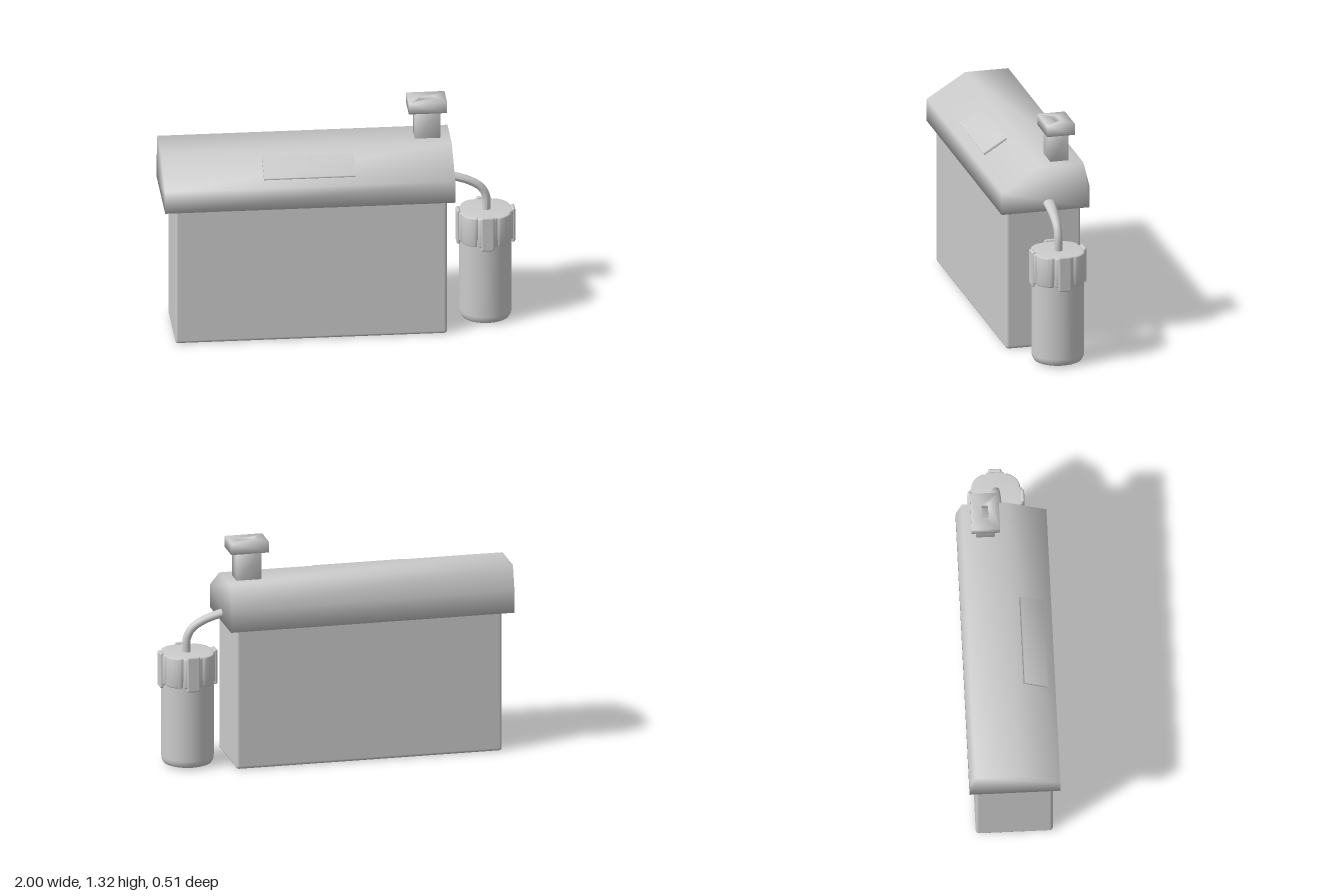
import * as THREE from 'three';
import { mergeVertices, toCreasedNormals } from 'three/addons/utils/BufferGeometryUtils.js';
import { RoundedBoxGeometry } from 'three/addons/geometries/RoundedBoxGeometry.js';

const material = new THREE.MeshStandardMaterial({ color: 0xcccccc });

// Share corners so that normals blend across the edges
function smooth(geometry) {
  geometry.deleteAttribute('normal');
  geometry.deleteAttribute('uv');
  const merged = mergeVertices(geometry, 1e-4);
  merged.computeVertexNormals();
  return merged;
}

function add(parent, name, geometry, x = 0, y = 0, z = 0) {
  const mesh = new THREE.Mesh(geometry, material);
  mesh.name = name;
  mesh.position.set(x, y, z);
  parent.add(mesh);
  return mesh;
}

function rectangle(Type, w, d) {
  const points = [[-w, -d], [w, -d], [w, d], [-w, d]].map(([x, y]) => new THREE.Vector2(x / 2, y / 2));
  return new Type(points);
}

export function createModel() {
  const model = new THREE.Group();
  model.name = 'hangOnTank';

  // Tank body with slightly softened edges
  add(model, 'body', new RoundedBoxGeometry(1.535, 0.83, 0.434, 2, 0.018), -0.172, 0.415, 0);

  // Lid: profile across the depth, extruded along the length
  const profile = [[0.255, 0.82], [0.255, 0.95], [0.03, 1.09], [-0.22, 1.09], [-0.255, 0.95], [-0.255, 0.82]];
  const lidShape = new THREE.Shape(profile.map(([z, y]) => new THREE.Vector2(-z, y)));
  const lid = new THREE.ExtrudeGeometry(lidShape, { depth: 1.637, bevelEnabled: false });
  lid.rotateY(Math.PI / 2);
  add(model, 'lid', smooth(lid), -1, 0, 0);

  // Thin panel lying on the sloped front of the lid
  const panel = add(model, 'slopePanel', smooth(new THREE.BoxGeometry(0.516, 0.02, 0.153)), -0.18, 1.026, 0.144);
  panel.rotation.x = Math.atan2(0.14, 0.225);

  // Square knob with a slot in its top
  const knob = new THREE.Group();
  knob.name = 'knob';
  knob.position.set(0.508, 0, -0.096);
  model.add(knob);
  add(knob, 'knobStem', smooth(new THREE.BoxGeometry(0.144, 0.19, 0.106)), 0, 1.165, 0);
  const capShape = rectangle(THREE.Shape, 0.216, 0.16);
  capShape.holes.push(rectangle(THREE.Path, 0.08, 0.036));
  const knobCap = new THREE.ExtrudeGeometry(capShape, { depth: 0.065, bevelEnabled: false });
  knobCap.rotateX(-Math.PI / 2);
  add(knob, 'knobCap', smooth(knobCap), 0, 1.252, 0);

  // Round canister beside the tank
  const canister = new THREE.Group();
  canister.name = 'canister';
  canister.position.set(0.832, 0, -0.019);
  model.add(canister);
  const side = [[0, 0.005], [0.118, 0.005], [0.136, 0.012], [0.146, 0.03], [0.148, 0.05], [0.148, 0.52]];
  add(canister, 'canisterBody', new THREE.LatheGeometry(side.map(([r, y]) => new THREE.Vector2(r, y)), 48));

  // Lobed screw cap
  const outline = [];
  for (let i = 0; i < 128; i++) {
    const a = (i / 128) * Math.PI * 2;
    const r = 0.145 + 0.014 * Math.pow(Math.abs(Math.cos(4 * a)), 0.4);
    outline.push(new THREE.Vector2(r * Math.cos(a), r * Math.sin(a)));
  }
  const screwCap = new THREE.ExtrudeGeometry(new THREE.Shape(outline), {
    depth: 0.163, bevelThickness: 0.006, bevelSize: 0.004, bevelOffset: -0.004, bevelSegments: 2,
  });
  screwCap.rotateX(-Math.PI / 2);
  add(canister, 'screwCap', toCreasedNormals(screwCap, 0.9), 0, 0.486, 0);

  // Four grip tabs, a little taller than the cap
  for (let i = 0; i < 4; i++) {
    const a = (i * Math.PI) / 2;
    const r = i % 2 ? 0.148 : 0.155;
    const tab = add(canister, 'gripTab', new RoundedBoxGeometry(0.022, 0.207, 0.075, 2, 0.01),
      r * Math.cos(a), 0.562, r * Math.sin(a));
    tab.rotation.y = -a;
  }

  // Hose from the lid end down into the cap, wider where it leaves the lid
  const path = new THREE.CatmullRomCurve3([
    [0.6, 0.873], [0.66, 0.86], [0.74, 0.832], [0.805, 0.79], [0.835, 0.735], [0.838, 0.64],
  ].map(([x, y]) => new THREE.Vector3(x, y, 0)));
  const hose = new THREE.TubeGeometry(path, 40, 0.023, 16, false);
  const p = hose.attributes.position;
  for (let i = 0; i < p.count; i++) {
    const t = Math.min(1, Math.max(0, (p.getX(i) - 0.62) / 0.2));
    p.setZ(i, p.getZ(i) * (1.5 - 0.5 * t));
  }
  hose.computeVertexNormals();
  add(model, 'hose', hose, 0, 0, -0.021);

  return model;
}
